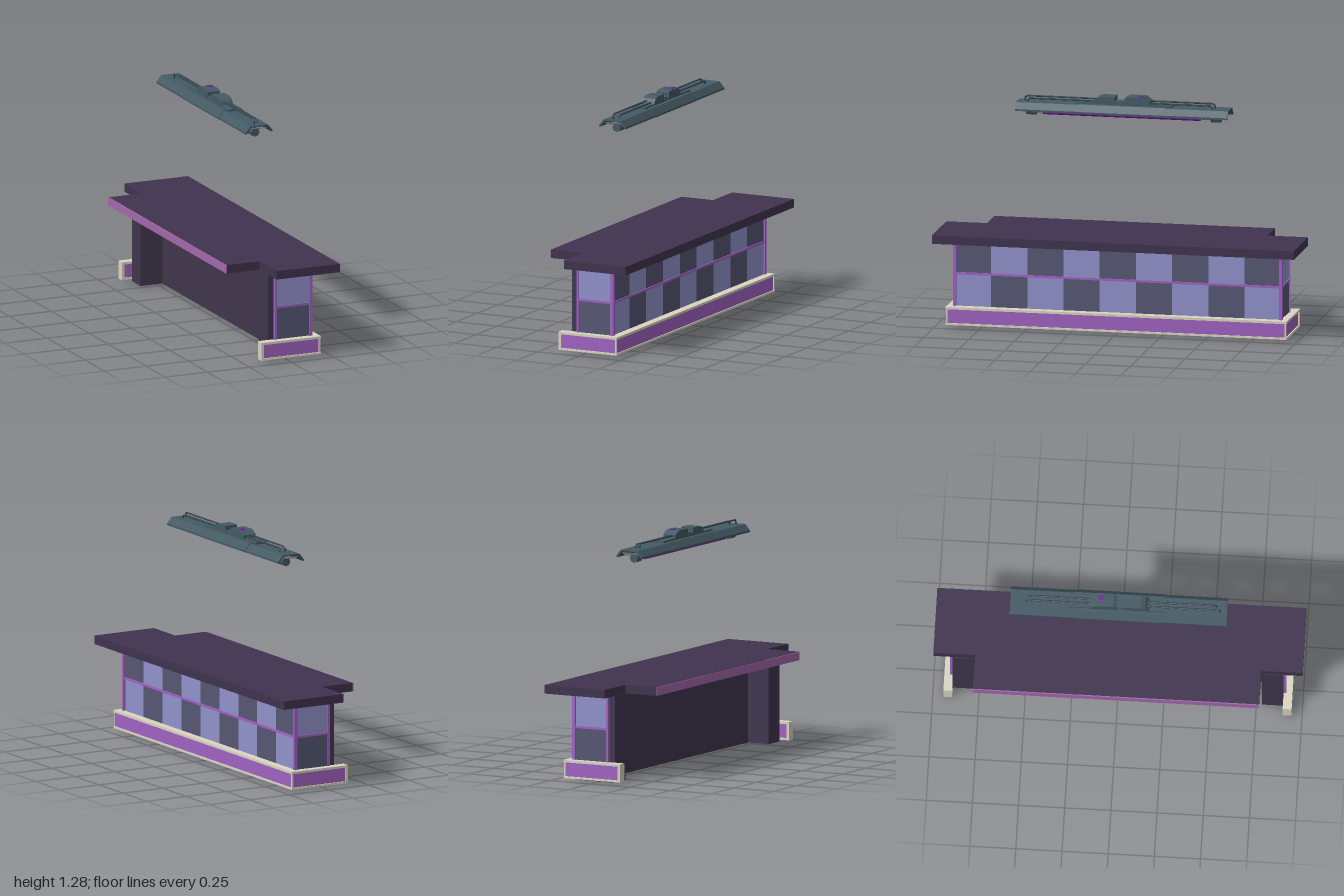
import * as THREE from 'three';

const mat = (color) => new THREE.MeshStandardMaterial({ color, flatShading: true, side: THREE.DoubleSide });
const M = {
  slab: mat(0x3f334e), body: mat(0x40364e), light: mat(0x9292cc), dark: mat(0x565674),
  purple: mat(0xa062c2), cream: mat(0xdad6c2), edge: mat(0xa468ac),
  metal: mat(0x455a64), darkMetal: mat(0x37474f), glow: mat(0x7b1fa2), white: mat(0xdedede),
};

function add(parent, name, geometry, material) {
  const mesh = new THREE.Mesh(geometry, material);
  mesh.name = name;
  parent.add(mesh);
  return mesh;
}

// Box given by its limits on each axis
function box(parent, name, material, [x0, x1], [y0, y1], [z0, z1]) {
  const g = new THREE.BoxGeometry(Math.abs(x1 - x0), y1 - y0, Math.abs(z1 - z0));
  g.translate((x0 + x1) / 2, (y0 + y1) / 2, (z0 + z1) / 2);
  return add(parent, name, g, material);
}

const shapeOf = (points) => new THREE.Shape(points.map(([x, y]) => new THREE.Vector2(x, y)));

// Floor plan (x, z) raised from y0 to y1
function plan(parent, name, material, points, y0, y1) {
  const g = new THREE.ExtrudeGeometry(shapeOf(points), { depth: y1 - y0, bevelEnabled: false });
  g.rotateX(Math.PI / 2).translate(0, y1, 0);
  return add(parent, name, g, material);
}

// U-shaped plan, open towards -x
const uPlan = (back, front, inner, zOut, zIn) => [
  [back, -zOut], [front, -zOut], [front, zOut], [back, zOut],
  [back, zIn], [inner, zIn], [inner, -zIn], [back, -zIn],
];

function createCounter() {
  const g = new THREE.Group();
  g.name = 'counter';

  // Worktop with a wider middle section at the back
  plan(g, 'worktop', M.slab, [
    [-0.09, -1], [0.285, -1], [0.285, 1], [-0.09, 1],
    [-0.09, 0.775], [-0.283, 0.775], [-0.283, -0.775], [-0.09, -0.775],
  ], 0.473, 0.52);
  box(g, 'worktopBackEdge', M.edge, [-0.289, -0.283], [0.474, 0.519], [-0.775, 0.775]);

  // Carcass with end returns
  plan(g, 'carcass', M.body, uPlan(-0.094, 0.145, 0.035, 0.895, 0.78), 0, 0.473);

  // Checkered tiles on the long side and both ends
  const rows = [[0.1, 0.29], [0.29, 0.473]];
  rows.forEach((row, r) => {
    for (let i = 0; i < 9; i++) {
      const z = 0.9 - i * 0.2;
      box(g, 'sideTile', (i + r) % 2 ? M.dark : M.light, [0.14, 0.154], row, [z - 0.2, z]);
    }
    for (const s of [-1, 1])
      box(g, 'endTile', r ? M.light : M.dark, [-0.055, 0.15], row, [s * 0.89, s * 0.902]);
  });

  // Trim strips
  box(g, 'sideTrim', M.purple, [0.145, 0.16], [0.284, 0.296], [-0.9, 0.9]);
  for (const s of [-1, 1]) {
    box(g, 'cornerTrim', M.purple, [0.145, 0.164], [0.1, 0.473], [s * 0.893, s * 0.91]);
    box(g, 'returnTrim', M.purple, [-0.06, -0.048], [0.1, 0.473], [s * 0.89, s * 0.91]);
    box(g, 'endTrim', M.purple, [-0.05, 0.15], [0.284, 0.296], [s * 0.89, s * 0.908]);
  }

  // Kick rail: coloured band framed in a pale border
  plan(g, 'kickBand', M.purple, uPlan(-0.145, 0.194, 0.14, 0.934, 0.903), 0.018, 0.1);
  for (const [y0, y1] of [[0.01, 0.021], [0.097, 0.11]])
    plan(g, 'kickBorder', M.cream, uPlan(-0.153, 0.2, 0.14, 0.942, 0.895), y0, y1);
  for (const s of [-1, 1]) {
    box(g, 'kickEnd', M.cream, [-0.153, -0.138], [0.01, 0.11], [s * 0.895, s * 0.942]);
    box(g, 'kickCorner', M.cream, [0.188, 0.198], [0.01, 0.11], [s * 0.932, s * 0.94]);
  }
  return g;
}

// Open-bottomed trapezoid channel, extruded along z
function channel(parent, name, halfLength, grow) {
  const g = new THREE.ExtrudeGeometry(shapeOf([
    [-0.08 - grow, 1.182], [-0.08 - grow, 1.192], [-0.052 - grow, 1.225 + grow],
    [0.052 + grow, 1.225 + grow], [0.08 + grow, 1.192], [0.08 + grow, 1.182],
    [0.074, 1.182], [0.046, 1.217], [-0.046, 1.217], [-0.074, 1.182],
  ]), { depth: halfLength * 2, bevelEnabled: false });
  g.translate(0, 0, -halfLength);
  return add(parent, name, g, M.metal);
}

// Side profile (z, y) given a width in x
function sideProfile(parent, name, points, width) {
  const g = new THREE.ExtrudeGeometry(shapeOf(points), { depth: width, bevelEnabled: false });
  g.translate(0, 0, -width / 2).rotateY(-Math.PI / 2);
  return add(parent, name, g, M.metal);
}

function createLamp() {
  const g = new THREE.Group();
  g.name = 'hangingLamp';
  g.position.x = -0.007;

  // Shade with a middle sleeve
  channel(g, 'shade', 0.587, 0);
  channel(g, 'shadeSleeve', 0.24, 0.003);
  box(g, 'spine', M.metal, [-0.035, 0.035], [1.22, 1.237], [-0.27, 0.26]);

  // Ballast housing on top
  sideProfile(g, 'housingBase', [[-0.147, 1.225], [0.168, 1.225], [0.16, 1.248], [-0.14, 1.248]], 0.06);
  sideProfile(g, 'housingFront', [[0.045, 1.23], [0.168, 1.23], [0.145, 1.262], [0.12, 1.272], [0.045, 1.272]], 0.074);
  sideProfile(g, 'housingBack', [[-0.15, 1.23], [-0.012, 1.23], [-0.012, 1.268], [-0.03, 1.276], [-0.115, 1.276], [-0.15, 1.255]], 0.076);
  box(g, 'indicator', M.glow, [0.001, 0.026], [1.27, 1.28], [-0.11, -0.08]);

  // Conduits running out from the housing and down into the shade
  for (const [x, end] of [[-0.014, 0.55], [0.014, 0.53], [-0.014, -0.5], [0.014, -0.49]]) {
    const s = Math.sign(end), y = x < 0 ? 1.25 : 1.243;
    const path = new THREE.CurvePath();
    const pts = [[s * 0.13, y], [end - s * 0.01, y], [end, y - 0.01], [end, 1.22]]
      .map(([z, h]) => new THREE.Vector3(x, h, z));
    for (let i = 0; i < 3; i++) path.add(new THREE.LineCurve3(pts[i], pts[i + 1]));
    add(g, 'conduit', new THREE.TubeGeometry(path, 40, 0.005, 6), M.darkMetal);
  }

  // Glowing tube
  const tube = add(g, 'lightTube', new THREE.CylinderGeometry(0.014, 0.014, 0.87, 10), M.glow);
  tube.rotation.x = Math.PI / 2;
  tube.position.set(0, 1.168, 0.012);

  for (const s of [-1, 1]) {
    // Tube sockets and their brackets
    const socket = add(g, 'socket', new THREE.CylinderGeometry(0.025, 0.025, 0.055, 8), M.metal);
    socket.rotation.x = Math.PI / 2;
    socket.position.set(0, 1.175, s * 0.51);
    box(g, 'socketBracket', M.metal, [-0.017, 0.017], [1.165, 1.22], [s * 0.435, s * 0.5]);
    // Sloped end reflectors
    const reflector = add(g, 'endReflector', new THREE.ShapeGeometry(
      shapeOf([[-0.072, 0], [0.072, 0], [0.05, 0.075], [-0.05, 0.075]])), M.white);
    reflector.rotation.x = s * 1.2;
    reflector.position.set(0, 1.184, s * 0.512);
  }
  return g;
}

export function createModel() {
  const model = new THREE.Group();
  model.name = 'counterWithLamp';
  model.add(createCounter(), createLamp());
  return model;
}
